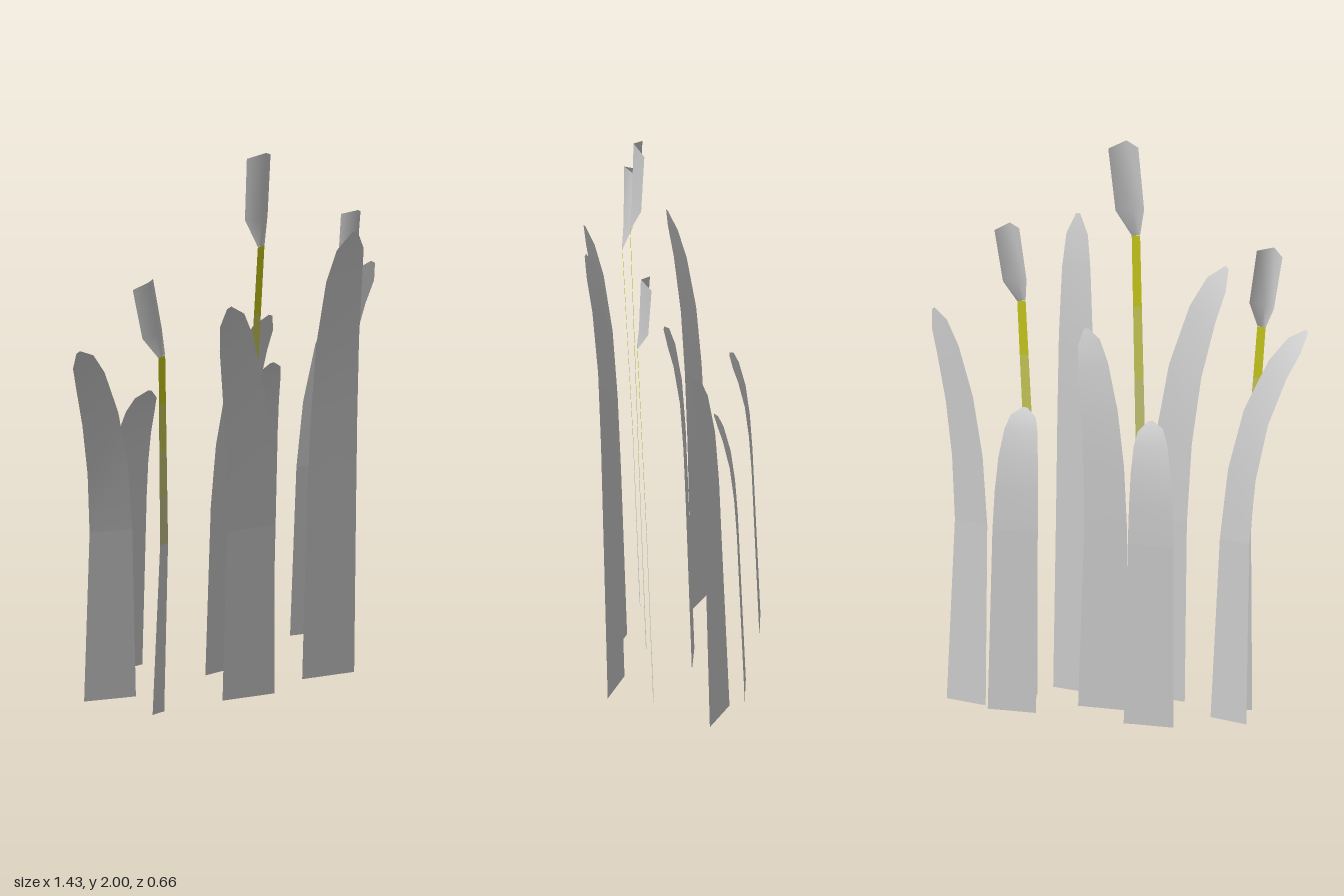
import * as THREE from 'three';

const BAND = 0.64; // height where the plain lower part ends
const lerp = THREE.MathUtils.lerp;
const paint = color => new THREE.MeshStandardMaterial({ color, side: THREE.DoubleSide });
const grey = paint(0xcccccc);

// Open sheet through rows of points, each row running from -x to +x, rows going up
function sheet(name, rows, material = grey) {
  const n = rows[0].length, index = [];
  for (let r = 0; r < rows.length - 1; r++) {
    for (let c = 0; c < n - 1; c++) {
      const a = r * n + c, b = a + n;
      index.push(a, a + 1, b + 1, a, b + 1, b);
    }
  }
  const geometry = new THREE.BufferGeometry();
  geometry.setAttribute('position', new THREE.Float32BufferAttribute(rows.flat(2), 3));
  geometry.setIndex(index);
  geometry.computeVertexNormals();
  const mesh = new THREE.Mesh(geometry, material);
  mesh.name = name;
  return mesh;
}

// Leaves: base centre x and z, base width, depth gained across the width (turn),
// centre and width at the band, and the tip
const leaves = [
  { x: -.228, z: -.322, width: .195, turn: .015, midX: -.225, midWidth: .18, tip: [-.19, 1.07] },
  { x: .325, z: -.238, width: .19, turn: .015, midX: .324, midWidth: .178, tip: [.32, 1.07] },
  { x: -.455, z: -.132, width: .17, turn: .085, midX: -.47, midWidth: .14, tip: [-.71, 1.395] },
  { x: .54, z: -.135, width: .18, turn: .08, midX: .53, midWidth: .15, tip: [.71, 1.38] },
  { x: .05, z: -.07, width: .19, turn: .02, midX: .045, midWidth: .17, tip: [.157, 1.335] },
  { x: -.083, z: .185, width: .185, turn: .07, midX: -.09, midWidth: .17, tip: [-.278, 1.54] },
  { x: .272, z: .215, width: .185, turn: .07, midX: .272, midWidth: .175, tip: [.3, 1.69] }
];

// Blade width along its curve: [position, share of the width at the band]
const taper = [[0, 1], [.25, .95], [.5, .87], [.75, .73], [.9, .55], [1, .1]];

function makeLeaf({ x, z, width, turn, midX, midWidth, tip: [tipX, tipY] }) {
  // Row across the leaf, square to its direction; leans forward and curls at the tip
  const row = (cx, cy, w, dir) => [-1, 1].map(side => {
    const t = cy / tipY, half = side * w / 2;
    return [cx + half * dir.y, cy - half * dir.x, z + .045 * t + .065 * t ** 8 + turn * half / width];
  });
  const curve = new THREE.QuadraticBezierCurve(
    new THREE.Vector2(midX, BAND),
    new THREE.Vector2(lerp(midX, tipX, .1), lerp(BAND, tipY, .68)),
    new THREE.Vector2(tipX, tipY));
  const up = new THREE.Vector2(0, 1);
  const band = row(midX, BAND, midWidth, up);
  const blade = taper.slice(1).map(([t, share]) => {
    const p = curve.getPoint(t);
    return row(p.x, p.y, midWidth * share, curve.getTangent(t));
  });
  const leaf = new THREE.Group();
  leaf.name = 'leaf';
  leaf.add(sheet('leafBase', [row(x, 0, width, up), band]), sheet('leafBlade', [band, ...blade]));
  return leaf;
}

// Flower stalks: centre x at the ground and the band, stem top, head tip
const stalks = [
  { x: -.428, midX: -.423, top: [-.467, 1.365], tip: [-.52, 1.655] },
  { x: -.053, midX: -.028, top: [.01, 1.66], tip: [.042, 2] },
  { x: .387, midX: .39, top: [.445, 1.395], tip: [.485, 1.675] }
];

function makeStalk({ x, midX, top: [topX, topY], tip: [tipX, tipY] }) {
  const stalk = new THREE.Group();
  stalk.name = 'flowerStalk';
  const row = (cx, y, w, z) => [[cx - w / 2, y, z], [cx + w / 2, y, z]];
  const upper = t => row(lerp(midX, topX, t), lerp(BAND, topY, t), lerp(.038, .032, t), lerp(.114, .15, t));
  stalk.add(sheet('stemBase', [row(x, 0, .056, .09), upper(0)]));

  // Stem turns yellower band by band
  const bands = 4;
  for (let i = 0; i < bands; i++) {
    const color = new THREE.Color(0xc6c68c).lerp(new THREE.Color(0xcccc18), i / (bands - 1));
    stalk.add(sheet('stem', [upper(i / bands), upper((i + 1) / bands)], paint(color)));
  }

  // Head: folded along its middle, edges swept back; u across and v along, in head lengths
  const ax = tipX - topX, ay = tipY - topY, length = Math.hypot(ax, ay);
  const at = (u, v, z) => [topX + u * ay + v * ax, topY - u * ax + v * ay, z];
  const fold = (halfWidth, edgeV, edgeZ, midV, midZ) =>
    [at(-halfWidth, edgeV, edgeZ), at(0, midV, midZ), at(halfWidth, edgeV, edgeZ)];
  stalk.add(sheet('flowerHead', [
    fold(.016 / length, 0, .15, 0, .15),
    fold(.16, .28, .115, .28, .145),
    fold(.168, .935, .105, 1, .14)
  ]));
  return stalk;
}

export function createModel() {
  const model = new THREE.Group();
  model.name = 'reedPlant';
  for (const leaf of leaves) model.add(makeLeaf(leaf));
  for (const stalk of stalks) model.add(makeStalk(stalk));
  return model;
}
